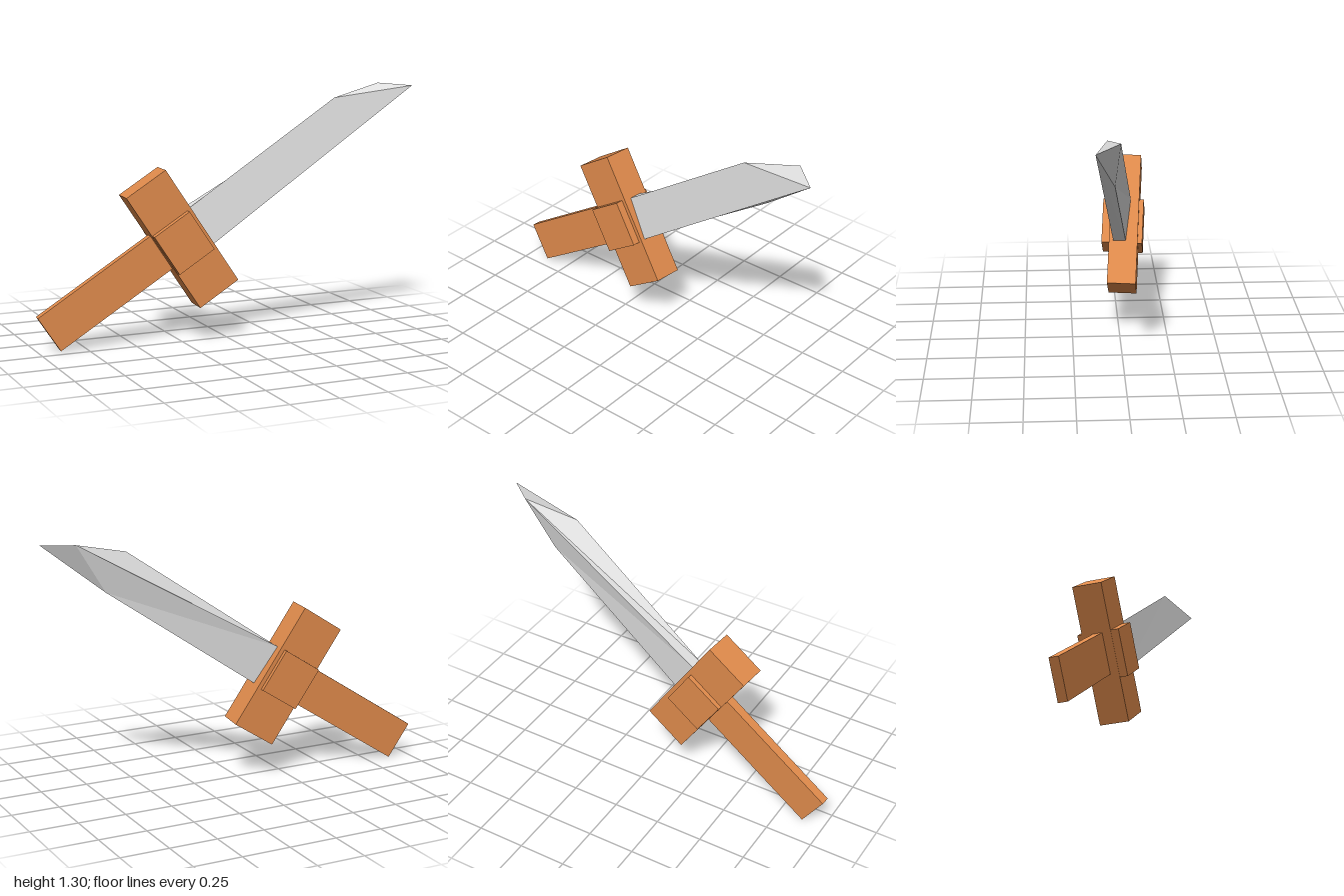
import * as THREE from 'three';

export function createModel() {
  const model = new THREE.Group();
  model.name = 'dagger';

  const wood = new THREE.MeshStandardMaterial({ color: 0xe08b4c, flatShading: true });
  wood.name = 'orange wood';
  const steel = new THREE.MeshStandardMaterial({ color: 0xe0e0e0, flatShading: true });
  steel.name = 'pale steel';

  // Hilt frame: x runs toward the blade, y along the guard, z through the thickness
  const along = new THREE.Vector3(0.834, 0.546, 0.07).normalize();
  const across = new THREE.Vector3(-0.546, 0.835, -0.07);
  const through = along.clone().cross(across).normalize();
  across.crossVectors(through, along);

  const hilt = new THREE.Group();
  hilt.name = 'hilt';
  hilt.quaternion.setFromRotationMatrix(new THREE.Matrix4().makeBasis(along, across, through));
  hilt.position.set(-0.25, 0.541, -0.0385);
  model.add(hilt);

  const addBlock = (name, size, position) => {
    const mesh = new THREE.Mesh(new THREE.BoxGeometry(...size), wood);
    mesh.name = name;
    mesh.position.set(...position);
    hilt.add(mesh);
  };
  addBlock('guard', [0.246, 0.7, 0.15], [0, 0, 0]);
  addBlock('collar', [0.222, 0.238, 0.214], [-0.01, -0.008, 0.008]);
  addBlock('handle', [0.726, 0.21, 0.048], [-0.463, 0, 0.006]);

  // Blade: four base corners, then four slanted tip corners
  // (front lower, front upper, back upper, back lower)
  const corners = [
    [-0.09, 0.505, 0.03], [-0.21, 0.695, -0.005], [-0.205, 0.695, -0.068], [-0.085, 0.505, -0.035],
    [1.0, 1.295, 0.155], [0.575, 1.24, 0.086], [0.86, 1.305, 0.035], [0.7, 1.05, 0.055],
  ];
  const faces = [0, 1, 2, 0, 2, 3, 4, 7, 6, 4, 6, 5];
  for (let i = 0; i < 4; i++) {
    const j = (i + 1) % 4;
    faces.push(i, i + 4, j + 4, i, j + 4, j);
  }
  const shape = new THREE.BufferGeometry();
  shape.setAttribute('position', new THREE.Float32BufferAttribute(corners.flat(), 3));
  shape.setIndex(faces);
  const bladeGeometry = shape.toNonIndexed();
  bladeGeometry.computeVertexNormals();
  const blade = new THREE.Mesh(bladeGeometry, steel);
  blade.name = 'blade';
  model.add(blade);

  return model;
}
